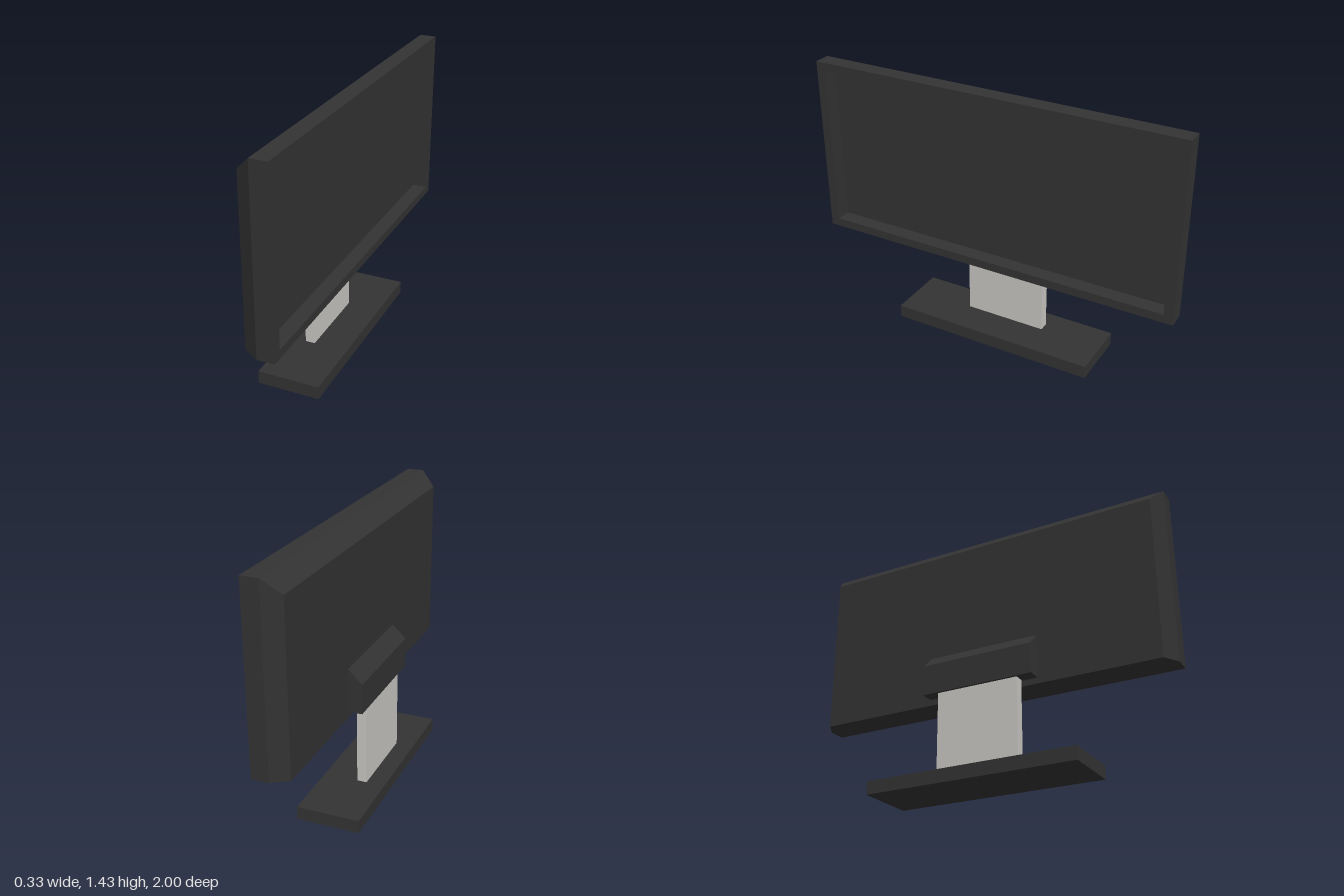
import * as THREE from 'three';

const dark = new THREE.MeshStandardMaterial({ color: 0x333333 });
dark.name = 'charcoal plastic';
const silver = new THREE.MeshStandardMaterial({ color: 0xc9c7c2 });
silver.name = 'pale grey metal';

// Rectangle facing +x, counter-clockwise seen from the screen side
const loop = (x, y0, y1, z) => [[x, y0, z], [x, y0, -z], [x, y1, -z], [x, y1, z]];

// Skin a list of loops with flat quads, closing the first loop at the back
function skin(loops) {
  const pos = [];
  const quad = (a, b, c, d) => pos.push(...a, ...b, ...c, ...a, ...c, ...d);
  const [p, q, r, s] = loops[0];
  quad(p, s, r, q);
  for (let k = 0; k + 1 < loops.length; k++) {
    for (let i = 0; i < 4; i++) {
      const j = (i + 1) % 4;
      quad(loops[k][i], loops[k][j], loops[k + 1][j], loops[k + 1][i]);
    }
  }
  const g = new THREE.BufferGeometry();
  g.setAttribute('position', new THREE.Float32BufferAttribute(pos, 3));
  g.computeVertexNormals();
  return g;
}

export function createModel() {
  const model = new THREE.Group();
  model.name = 'monitor';
  const add = (name, geometry, material) => {
    const mesh = new THREE.Mesh(geometry, material);
    mesh.name = name;
    model.add(mesh);
    return mesh;
  };
  const box = (name, material, x0, x1, y0, y1, z) =>
    add(name, new THREE.BoxGeometry(x1 - x0, y1 - y0, 2 * z), material)
      .position.set((x0 + x1) / 2, (y0 + y1) / 2, 0);

  // Foot and upright
  box('base', dark, -0.168, 0.165, 0, 0.07, 0.567);
  box('stand', silver, -0.07, -0.018, 0.07, 0.515, 0.224);

  // Bracket with a sloping top behind the housing
  const profile = new THREE.Shape([
    [-0.082, 0.512], [-0.008, 0.512], [-0.008, 0.745], [-0.082, 0.673],
  ].map(([x, y]) => new THREE.Vector2(x, y)));
  const bracket = new THREE.ExtrudeGeometry(profile, { depth: 0.616, bevelEnabled: false });
  bracket.translate(0, 0, -0.308);
  add('bracket', bracket, dark);

  // Housing: bevelled back, straight sides, front bezel and recess walls
  add('housing', skin([
    loop(-0.008, 0.48, 1.352, 0.95),
    loop(0.075, 0.48, 1.43, 1),
    loop(0.165, 0.48, 1.43, 1),
    loop(0.165, 0.525, 1.385, 0.95),
    loop(0.085, 0.525, 1.385, 0.95),
  ]), dark);

  // Screen at the bottom of the recess
  const screen = add('screen', new THREE.PlaneGeometry(1.9, 0.86), dark);
  screen.rotation.y = Math.PI / 2;
  screen.position.set(0.085, 0.955, 0);

  return model;
}
